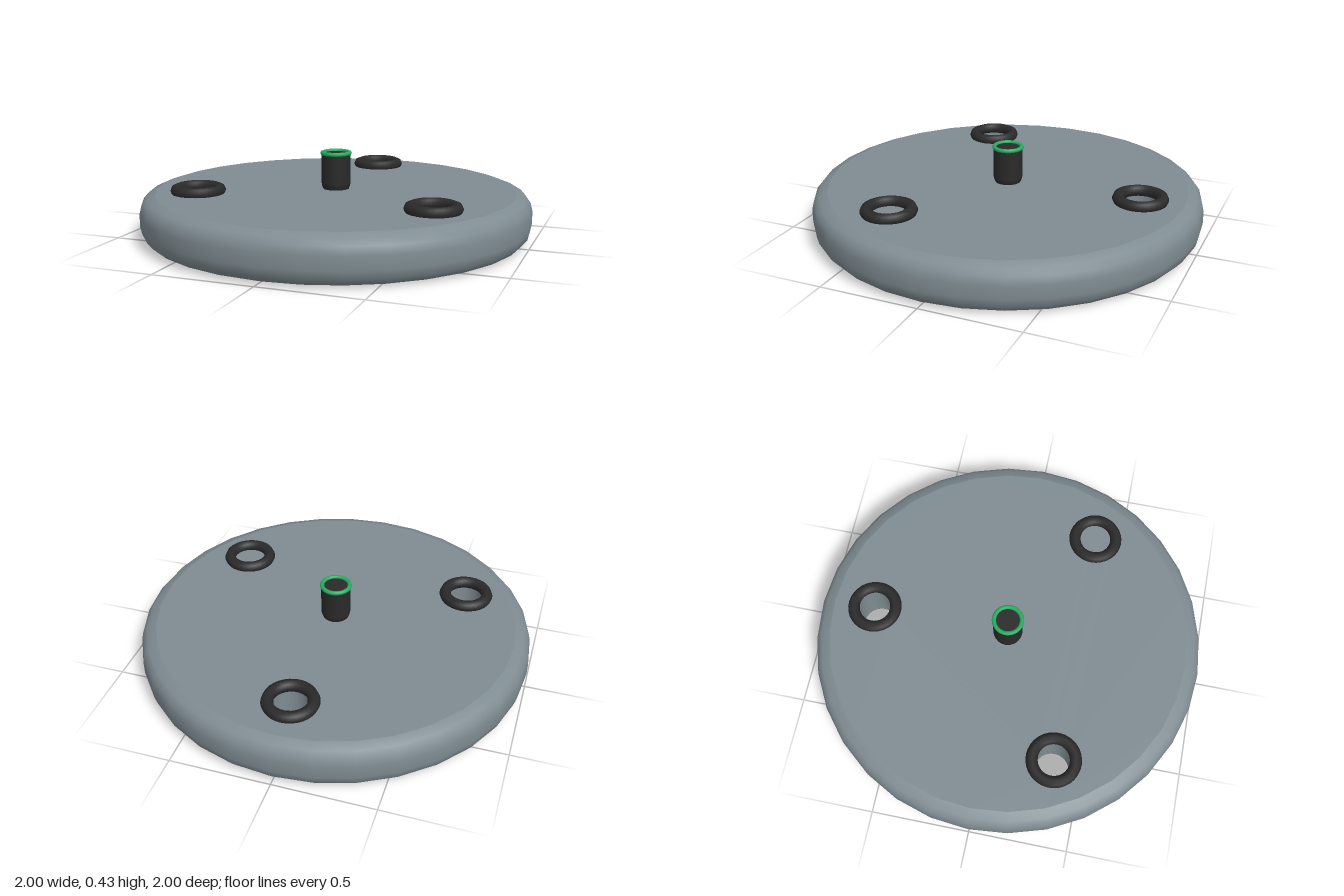
import * as THREE from 'three';

const TOP = 0.235, CAP_R = 0.92, HOLE_R = 0.088, SEGMENTS = 32;

export function createModel() {
  const model = new THREE.Group();
  model.name = 'discBase';
  const grey = new THREE.MeshStandardMaterial({ color: 0x7f8c92, side: THREE.DoubleSide });
  grey.name = 'slate grey';
  const black = new THREE.MeshStandardMaterial({ color: 0x2a2a2a });
  black.name = 'rubber black';
  const green = new THREE.MeshStandardMaterial({ color: 0x27ae60 });
  green.name = 'green';

  const add = (name, geometry, material, x = 0, y = 0, z = 0) => {
    const mesh = new THREE.Mesh(geometry, material);
    mesh.name = name;
    mesh.position.set(x, y, z);
    model.add(mesh);
    return mesh;
  };
  const lathe = (points, segments) =>
    new THREE.LatheGeometry(points.map(([r, y]) => new THREE.Vector2(r, y)), segments);

  // Three holes, evenly spaced around the centre
  const holes = [0, 1, 2].map((i) => {
    const a = -Math.PI / 2 + (i * Math.PI * 2) / 3;
    return [Math.cos(a) * 0.705, Math.sin(a) * 0.705];
  });

  // Rounded rim of the disc
  add('discRim', lathe([
    [CAP_R, 0], [0.965, 0.016], [0.99, 0.045], [1, 0.085],
    [1, 0.15], [0.99, 0.19], [0.965, 0.219], [CAP_R, TOP],
  ], SEGMENTS), grey);

  // Flat faces, pierced by the holes
  const faceGeometry = (flip) => {
    const outline = [];
    for (let i = 0; i < SEGMENTS; i++) {
      const a = (i / SEGMENTS) * Math.PI * 2;
      outline.push(new THREE.Vector2(Math.cos(a) * CAP_R, Math.sin(a) * CAP_R));
    }
    const shape = new THREE.Shape(outline);
    for (const [x, z] of holes) {
      shape.holes.push(new THREE.Path().absarc(x, flip * z, HOLE_R, 0, Math.PI * 2, true));
    }
    return new THREE.ShapeGeometry(shape, 12).rotateX(flip * Math.PI / 2);
  };
  add('discTop', faceGeometry(-1), grey, 0, TOP, 0);
  add('discUnderside', faceGeometry(1), grey);

  // Hole walls and the rubber ring around each hole
  holes.forEach(([x, z]) => {
    add('holeWall', new THREE.CylinderGeometry(HOLE_R, HOLE_R, TOP, 24, 1, true), grey, x, TOP / 2, z);
    add('rubberRing', new THREE.TorusGeometry(0.109, 0.03, 8, 32).rotateX(Math.PI / 2), black, x, 0.25, z);
  });

  // One hole is closed at the top
  add('holeCover', new THREE.CircleGeometry(HOLE_R, 24).rotateX(-Math.PI / 2), grey, holes[1][0], TOP, holes[1][1]);

  // Central post with a green ring at its top
  add('post', lathe([
    [0.064, TOP - 0.005], [0.072, 0.25], [0.075, 0.265], [0.075, 0.42],
  ], 24), black);
  add('postTop', new THREE.CircleGeometry(0.075, 24).rotateX(-Math.PI / 2), black, 0, 0.42, 0);
  add('postRing', new THREE.TorusGeometry(0.07, 0.011, 8, 32).rotateX(Math.PI / 2), green, 0, 0.42, 0);

  return model;
}
